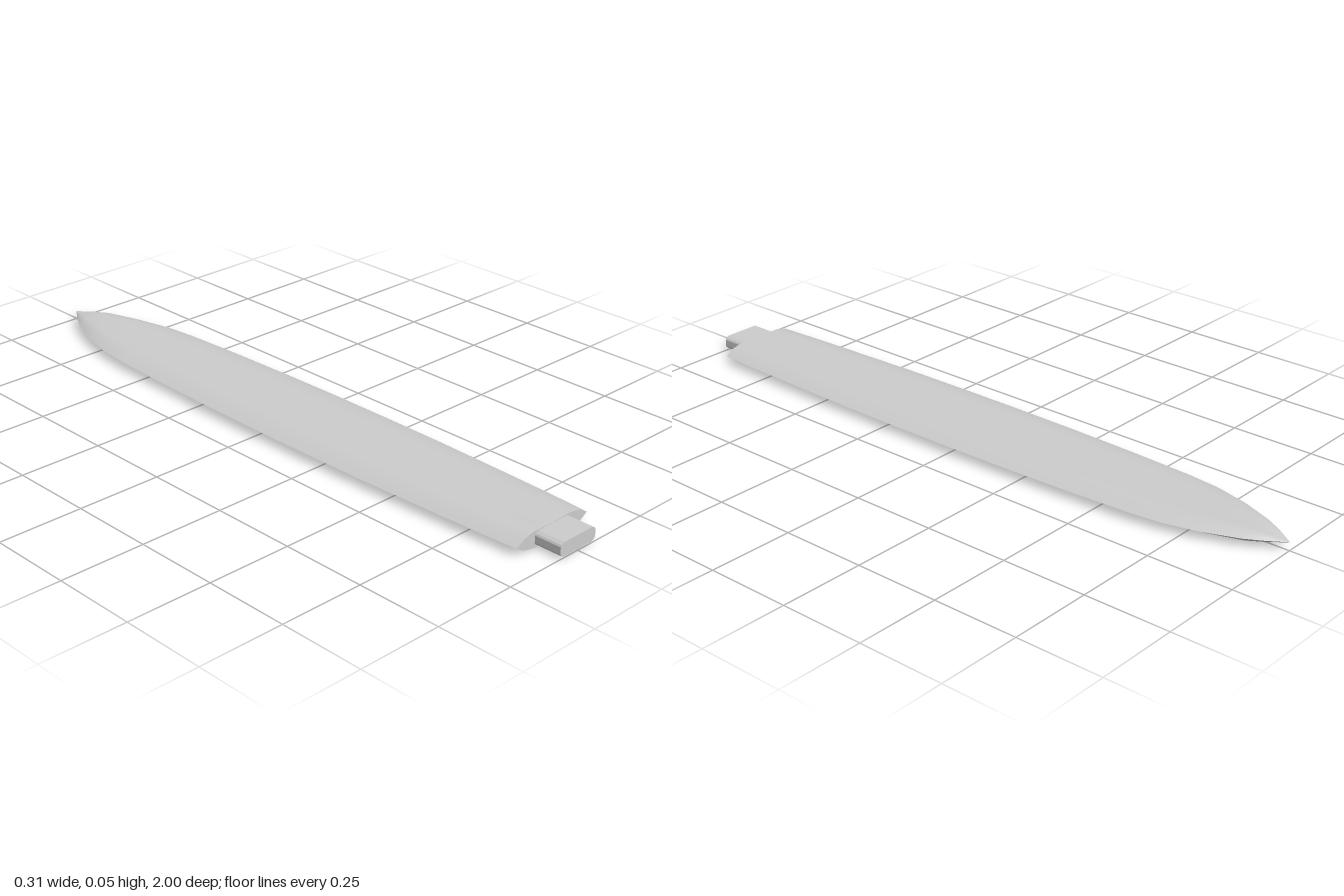
import * as THREE from 'three';

const steel = new THREE.MeshStandardMaterial({ color: 0xcccccc });
steel.name = 'steel';

const MID = 0.024;

// Blade stations: [z, half width, half thickness]
const stations = [
  [0.92, 0.135, 0.024], [0.8, 0.142, 0.0235], [0.6, 0.149, 0.023], [0.4, 0.155, 0.0225],
  [0.2, 0.157, 0.022], [0, 0.157, 0.021], [-0.2, 0.154, 0.02], [-0.4, 0.148, 0.019],
  [-0.6, 0.138, 0.018], [-0.7, 0.127, 0.0175], [-0.8, 0.102, 0.017], [-0.9, 0.063, 0.0155],
  [-0.95, 0.034, 0.009], [-1, 0.0005, 0.0005],
];

// Half section from centre to edge: [fraction of width, fraction of thickness]
const half = [[0, 0.91], [0.2, 0.93], [0.36, 0.98], [0.48, 1], [0.62, 0.91], [0.8, 0.66], [1, 0]];
const section = [...half.slice(1).reverse().map(([x, y]) => [-x, y]), ...half];

// One face of the blade, sign +1 for the upper and -1 for the lower
function bladeFace(sign) {
  const pos = [], idx = [], n = section.length;
  stations.forEach(([z, w, t], i) => {
    section.forEach(([x, y], j) => {
      pos.push(x * w, MID + sign * y * t, z);
      if (i === stations.length - 1 || j === n - 1) return;
      const a = i * n + j, b = a + 1, c = a + n, d = c + 1;
      if (sign > 0) idx.push(a, b, c, b, d, c);
      else idx.push(a, c, b, b, c, d);
    });
  });
  const g = new THREE.BufferGeometry();
  g.setAttribute('position', new THREE.Float32BufferAttribute(pos, 3));
  g.setIndex(idx);
  g.computeVertexNormals();
  return g;
}

export function createModel() {
  const group = new THREE.Group();
  const add = (name, geometry) => {
    const mesh = new THREE.Mesh(geometry, steel);
    mesh.name = name;
    group.add(mesh);
  };

  add('bladeUpperFace', bladeFace(1));
  add('bladeLowerFace', bladeFace(-1));

  // Flat end of the blade
  const [z, w, t] = stations[0];
  const outline = [
    ...section.map(([x, y]) => new THREE.Vector2(x * w, MID - y * t)),
    ...section.slice(1, -1).reverse().map(([x, y]) => new THREE.Vector2(x * w, MID + y * t)),
  ];
  add('bladeEnd', new THREE.ShapeGeometry(new THREE.Shape(outline)).translate(0, 0, z));

  // Tang with softened corners
  const corner = [[0.067, 0.01], [0.064, 0.015], [0.055, 0.0205]];
  const quarter = (sx, sy) => corner.map(([x, y]) => new THREE.Vector2(x * sx, MID + y * sy));
  const tang = new THREE.Shape([
    ...quarter(1, 1), ...quarter(-1, 1).reverse(),
    ...quarter(-1, -1), ...quarter(1, -1).reverse(),
  ]);
  add('tang', new THREE.ExtrudeGeometry(tang, { depth: 0.1, bevelEnabled: false }).translate(0, 0, 0.9));

  return group;
}
